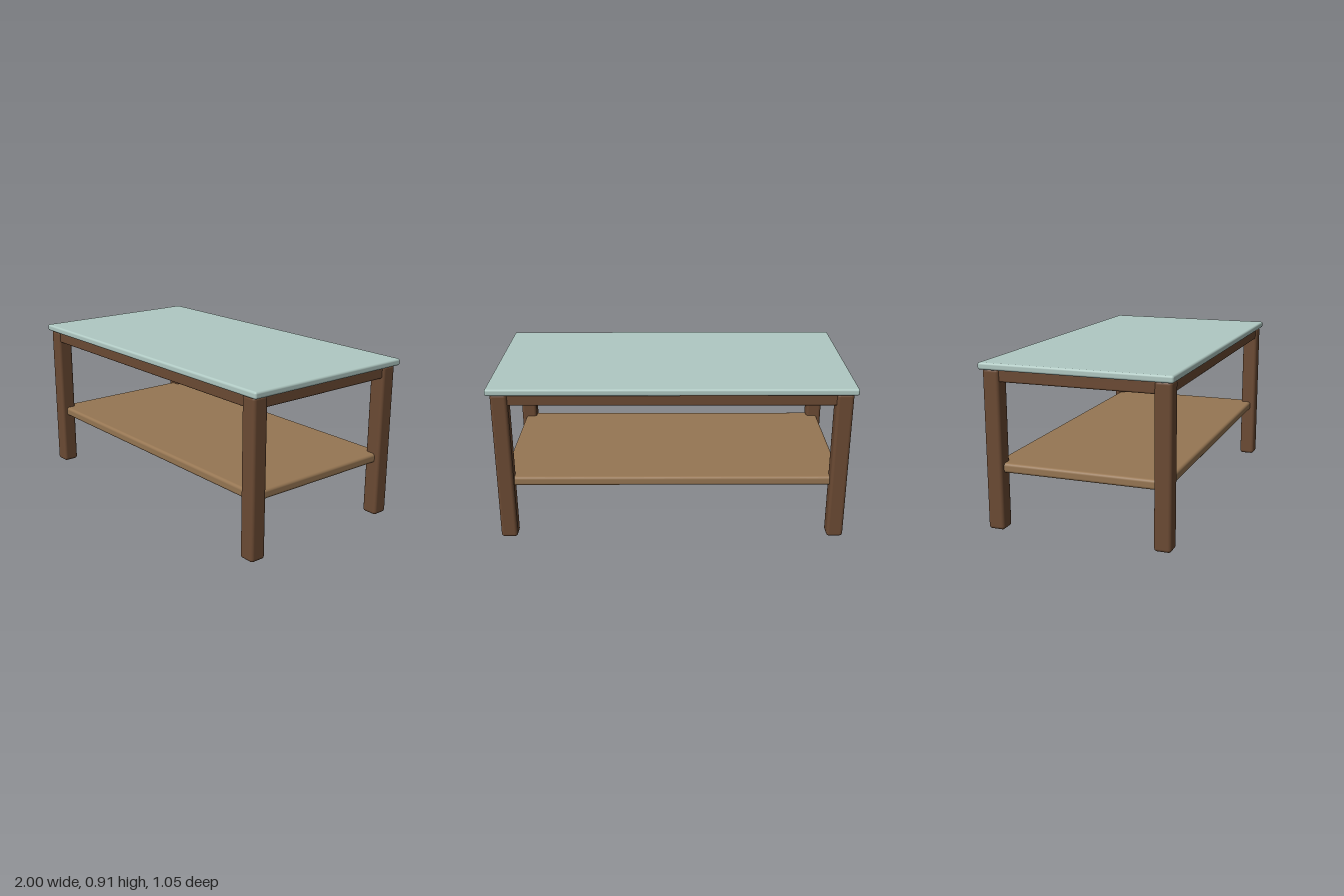
import * as THREE from 'three';
import { RoundedBoxGeometry } from 'three/addons/geometries/RoundedBoxGeometry.js';

const mat = (name, color) => {
  const m = new THREE.MeshStandardMaterial({ color });
  m.name = name;
  return m;
};

export function createModel() {
  const table = new THREE.Group();
  table.name = 'coffeeTable';
  const paleGreen = mat('pale green top', 0xb0c9c3);
  const darkWood = mat('dark wood', 0x6b4a33);
  const lightWood = mat('light wood', 0x967653);

  // Rounded block centred on (x, z), spanning bottom to top
  const block = (name, material, w, d, bottom, top, x, z, radius) => {
    const geo = new RoundedBoxGeometry(w, top - bottom, d, 4, radius);
    const mesh = new THREE.Mesh(geo, material);
    mesh.name = name;
    mesh.position.set(x, (bottom + top) / 2, z);
    table.add(mesh);
  };

  block('tableTop', paleGreen, 2, 1.05, 0.868, 0.906, 0, 0, 0.012);

  // Shelf, its corners let into the legs
  block('shelf', lightWood, 1.9, 0.96, 0.313, 0.366, 0, 0, 0.016);

  for (const s of [-1, 1]) {
    // Legs
    for (const t of [-1, 1]) {
      block('leg', darkWood, 0.093, 0.093, 0, 0.872, s * 0.93, t * 0.465, 0.018);
    }
    // Rails under the top
    block('longRail', darkWood, 1.84, 0.045, 0.803, 0.872, 0, s * 0.478, 0.01);
    block('shortRail', darkWood, 0.045, 0.91, 0.803, 0.872, s * 0.943, 0, 0.01);
  }
  return table;
}
